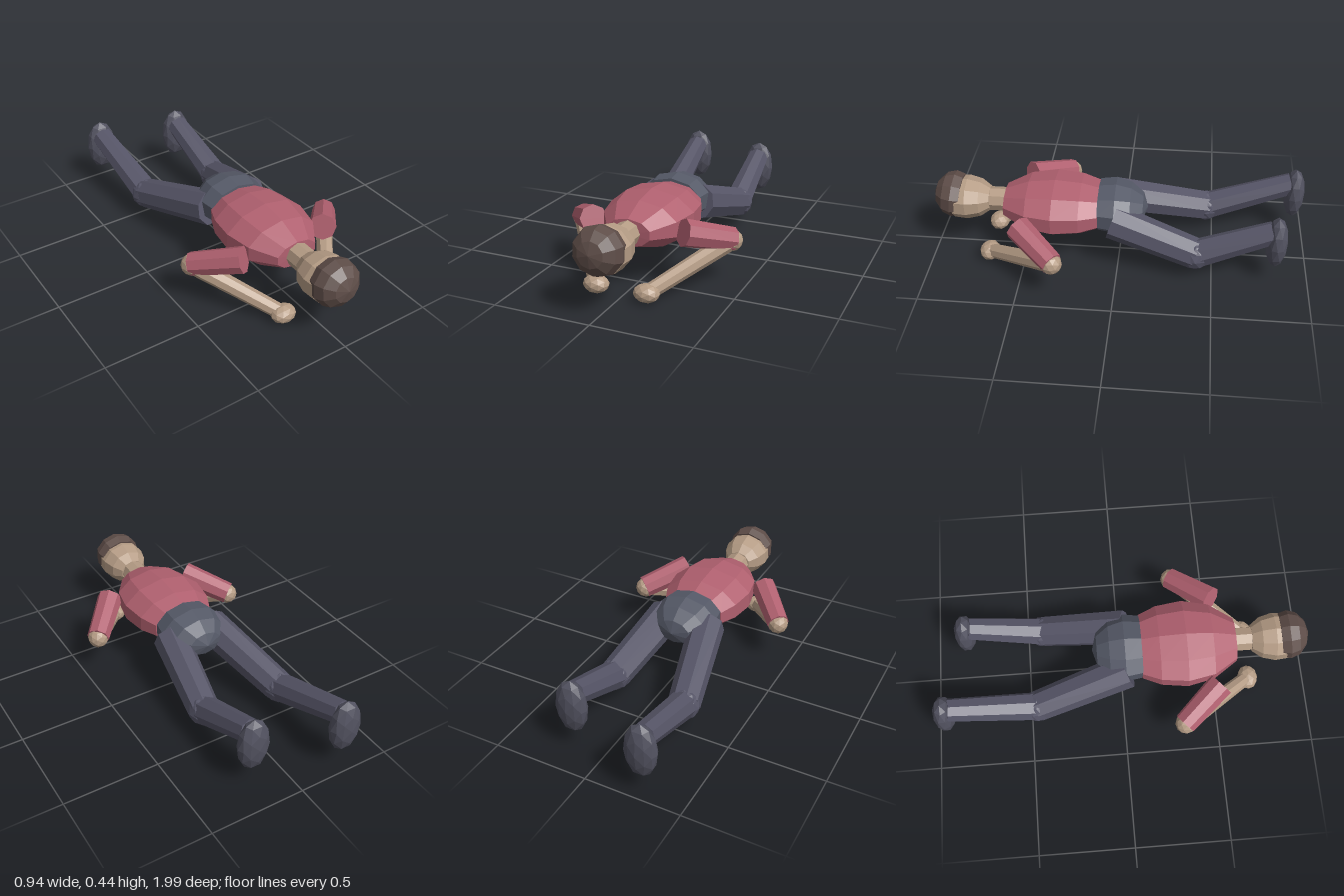
import * as THREE from 'three';

const flat = (name, color) => {
  const m = new THREE.MeshStandardMaterial({ color, flatShading: true });
  m.name = name;
  return m;
};

export function createModel() {
  const model = new THREE.Group();
  model.name = 'proneFigure';

  const skin = flat('skin', 0xb59c85);
  const shirt = flat('shirt', 0xb0606f);
  const trousers = flat('trousers', 0x565567);
  const hips = flat('hips', 0x555967);
  const shoes = flat('shoes', 0x51515f);
  const hairColor = flat('hair', 0x5e4d48);
  const eyeColor = flat('eye', 0x2e2a2a);

  const add = (name, geometry, material) => {
    const mesh = new THREE.Mesh(geometry, material);
    mesh.name = name;
    model.add(mesh);
    return mesh;
  };

  // Faceted ellipsoid
  const blob = (name, material, center, radii, detail = 1) => {
    const mesh = add(name, new THREE.IcosahedronGeometry(1, detail), material);
    mesh.position.set(...center);
    mesh.scale.set(...radii);
    return mesh;
  };

  // Eight-sided tapered limb between two joints
  const limb = (name, material, from, to, r0, r1) => {
    const a = new THREE.Vector3(...from), b = new THREE.Vector3(...to);
    const dir = b.clone().sub(a);
    const mesh = add(name, new THREE.CylinderGeometry(r1, r0, dir.length(), 8), material);
    mesh.position.copy(a).add(b).multiplyScalar(0.5);
    mesh.quaternion.setFromUnitVectors(new THREE.Vector3(0, 1, 0), dir.normalize());
    return mesh;
  };

  // Ten-sided lathe lying along z, profile given as [radius, z]
  const lathe = (name, material, profile, y, sx, sy) => {
    const g = new THREE.LatheGeometry(profile.map(p => new THREE.Vector2(...p)), 10);
    g.rotateX(Math.PI / 2);
    g.scale(sx, sy, 1);
    const mesh = add(name, g, material);
    mesh.position.y = y;
    return mesh;
  };

  // Torso, pelvis and neck
  lathe('torso', shirt,
    [[0, 0.1], [0.74, 0.105], [0.92, 0.2], [1, 0.34], [0.87, 0.48], [0.5, 0.605], [0, 0.61]],
    0.3, 0.236, 0.14);
  lathe('pelvis', hips,
    [[0, -0.15], [0.5, -0.125], [0.85, -0.06], [1, 0.02], [0.92, 0.108], [0, 0.115]],
    0.3, 0.183, 0.13);
  limb('neck', skin, [0, 0.3, 0.57], [0, 0.3, 0.73], 0.064, 0.064);

  // Head with a tilted cap of hair
  lathe('head', skin,
    [[0, 0.685], [0.55, 0.69], [0.85, 0.74], [1, 0.81], [0.95, 0.88], [0, 0.95]],
    0.303, 0.127, 0.113);
  const hair = lathe('hair', hairColor,
    [[0, -0.025], [0.116, -0.025], [0.128, 0.02], [0.112, 0.067], [0.067, 0.105], [0, 0.122]],
    0.317, 1, 0.95);
  hair.position.z = 0.87;
  hair.rotation.x = -0.12;

  for (const s of [1, -1]) {
    const side = s > 0 ? 'left' : 'right';
    blob(side + 'Eye', eyeColor, [s * 0.042, 0.2, 0.83], [0.015, 0.012, 0.015]);

    // Arms: sleeve, bare elbow, forearm and hand
    const elbow = [s * 0.412, 0.22, 0.31];
    limb(side + 'UpperArm', shirt, [s * 0.24, 0.302, 0.505], [s * 0.415, 0.224, 0.305], 0.069, 0.06);
    blob(side + 'Elbow', skin, elbow, [0.056, 0.056, 0.056]);
    limb(side + 'Forearm', skin, elbow, [s * 0.14, 0.052, 0.68], 0.047, 0.038);
    blob(side + 'Hand', skin, [s * 0.133, 0.05, 0.69], [0.067, 0.046, 0.055]);
  }

  // Legs bend differently on each side
  const legs = [
    { side: 'left', hip: [0.12, 0.285, 0.03], knee: [0.185, 0.15, -0.41], foot: [0.17, 0.243, -0.82] },
    { side: 'right', hip: [-0.12, 0.285, 0.03], knee: [-0.238, 0.15, -0.46], foot: [-0.27, 0.243, -0.937] },
  ];
  for (const { side, hip, knee, foot } of legs) {
    const ankle = [foot[0], 0.305, foot[2] + 0.02];
    limb(side + 'Thigh', trousers, hip, knee, 0.094, 0.082);
    blob(side + 'Knee', trousers, knee, [0.083, 0.083, 0.083]);
    limb(side + 'Shin', trousers, knee, ankle, 0.076, 0.06);
    blob(side + 'Foot', shoes, foot, [0.085, 0.147, 0.057]);
  }

  return model;
}
